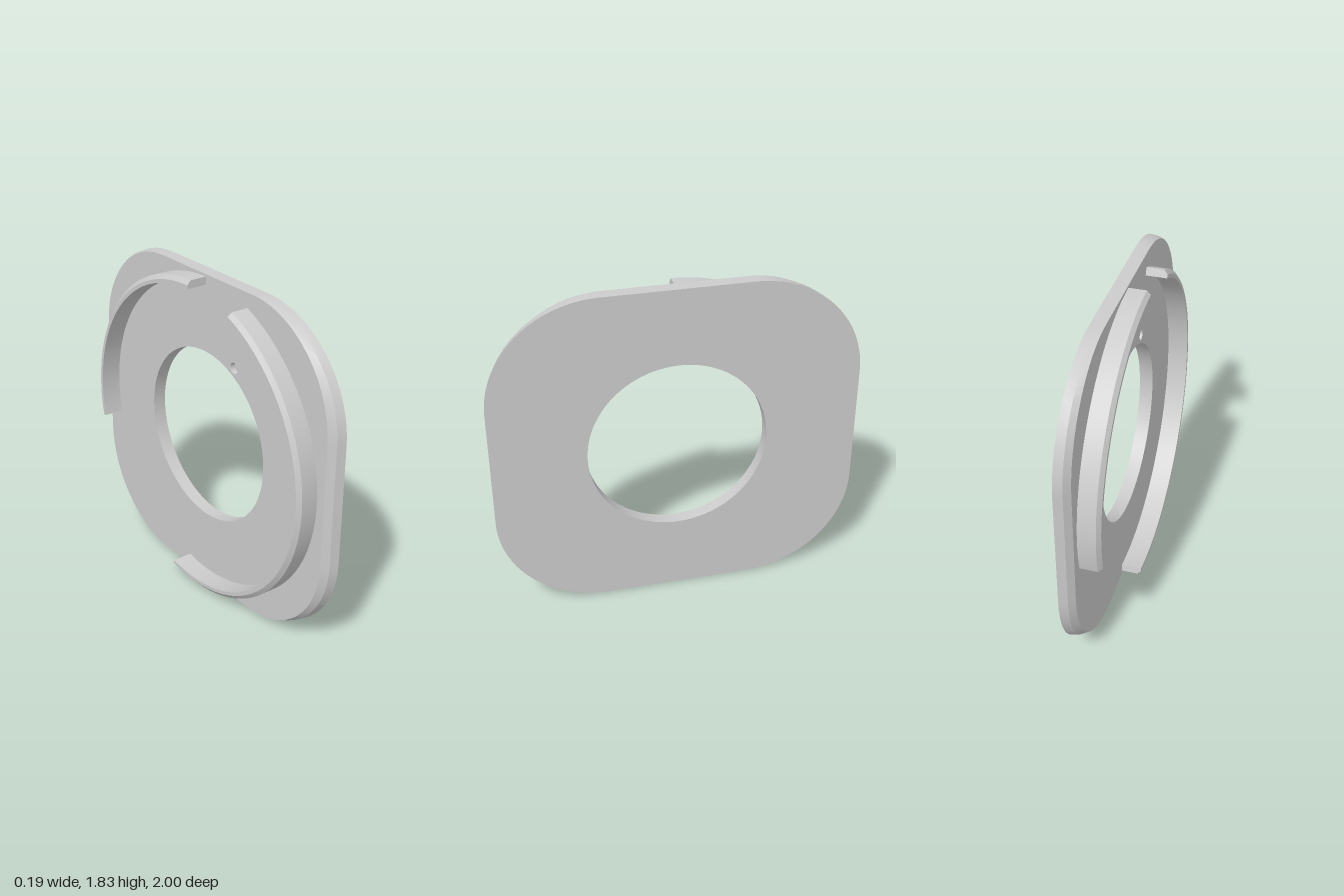
import * as THREE from 'three';
import { toCreasedNormals } from 'three/addons/utils/BufferGeometryUtils.js';

const MID = 0.913; // height of the plate centre
const BACK = 0.02, FRONT = 0.095; // plate faces along x
const HOLE = 0.491;
const PIT = { u: -0.24, v: 0.48, r: 0.03, depth: 0.03 };
const material = new THREE.MeshStandardMaterial({ color: 0xcccccc });

// Joins closed loops of Vector3 into a skin, with optional end caps
function loft(rings, capped = false) {
  const pos = [];
  const tri = (...pts) => pts.forEach((p) => pos.push(p.x, p.y, p.z));
  const n = rings[0].length;
  for (let i = 0; i < rings.length - 1; i++) {
    for (let j = 0; j < n; j++) {
      const k = (j + 1) % n;
      tri(rings[i][j], rings[i][k], rings[i + 1][k]);
      tri(rings[i][j], rings[i + 1][k], rings[i + 1][j]);
    }
  }
  if (capped) {
    const first = rings[0], last = rings[rings.length - 1];
    for (let j = 1; j < n - 1; j++) {
      tri(first[0], first[j + 1], first[j]);
      tri(last[0], last[j], last[j + 1]);
    }
  }
  const geo = new THREE.BufferGeometry();
  geo.setAttribute('position', new THREE.Float32BufferAttribute(pos, 3));
  return toCreasedNormals(geo, 0.35);
}

// Places a flat 2D loop at depth x, optionally narrowed across z
const ringAt = (pts, x, scale = 1) => pts.map((p) => new THREE.Vector3(x, p.y + MID, -p.x * scale));

function circle(u, v, r, n) {
  return Array.from({ length: n }, (_, i) => {
    const a = (i / n) * Math.PI * 2;
    return new THREE.Vector2(u + r * Math.cos(a), v + r * Math.sin(a));
  });
}

// Rounded plate outline, counter-clockwise
function outline() {
  const pts = [], steps = 20;
  [[1, 1], [-1, 1], [-1, -1], [1, -1]].forEach(([su, sv], q) => {
    for (let i = 0; i <= steps; i++) {
      const a = (q + i / steps) * Math.PI / 2;
      pts.push(new THREE.Vector2(su * 0.4 + 0.6 * Math.cos(a), sv * 0.333 + 0.58 * Math.sin(a)));
    }
  });
  return pts;
}

// Flat face across x, pointing to +x (front) or -x
function face(pts, holes, x, front, scale = 1) {
  const shape = new THREE.Shape(pts.map((p) => new THREE.Vector2(p.x * scale, p.y)));
  holes.forEach((h) => shape.holes.push(new THREE.Path(h)));
  const geo = new THREE.ShapeGeometry(shape);
  if (!front) {
    const idx = geo.index.array;
    for (let i = 0; i < idx.length; i += 3) [idx[i], idx[i + 1]] = [idx[i + 1], idx[i]];
    geo.computeVertexNormals();
  }
  return geo.rotateY(Math.PI / 2).translate(x, MID, 0);
}

// Curved rim with a chamfered outer edge; angles in degrees from the top towards +z
function rim(from, to) {
  const section = [[0.025, 0.857], [0.025, 0.9], [-0.075, 0.9], [-0.095, 0.877], [-0.095, 0.857]];
  const steps = Math.ceil((to - from) / 3);
  const rings = Array.from({ length: steps + 1 }, (_, i) => {
    const a = THREE.MathUtils.degToRad(from + ((to - from) * i) / steps);
    return section.map(([x, r]) => new THREE.Vector3(x, MID + r * Math.cos(a), r * Math.sin(a)));
  });
  return loft(rings, true);
}

export function createModel() {
  const model = new THREE.Group();
  const add = (parent, name, geo) => {
    const mesh = new THREE.Mesh(geo, material);
    mesh.name = name;
    parent.add(mesh);
  };

  // Plate: sides taper towards the back, round opening in the middle
  const plate = new THREE.Group();
  plate.name = 'plate';
  model.add(plate);
  const edge = outline();
  const hole = circle(0, 0, HOLE, 96);
  const pit = circle(PIT.u, PIT.v, PIT.r, 20);
  add(plate, 'plateFront', face(edge, [hole], FRONT, true));
  add(plate, 'plateBack', face(edge, [hole, pit], BACK, false, 0.95));
  add(plate, 'plateEdge', loft([ringAt(edge, BACK, 0.95), ringAt(edge, 0.05, 0.984), ringAt(edge, FRONT)]));
  add(plate, 'openingWall', loft([ringAt(hole, FRONT), ringAt(hole, BACK)]));

  // Small blind pin hole in the back
  add(plate, 'pinHoleWall', loft([ringAt(pit, BACK + PIT.depth), ringAt(pit, BACK)]));
  add(plate, 'pinHoleFloor', face(pit, [], BACK + PIT.depth, false));

  // Two arc rims standing on the back
  add(model, 'shortRim', rim(-102, 0));
  add(model, 'longRim', rim(22, 190));

  return model;
}
